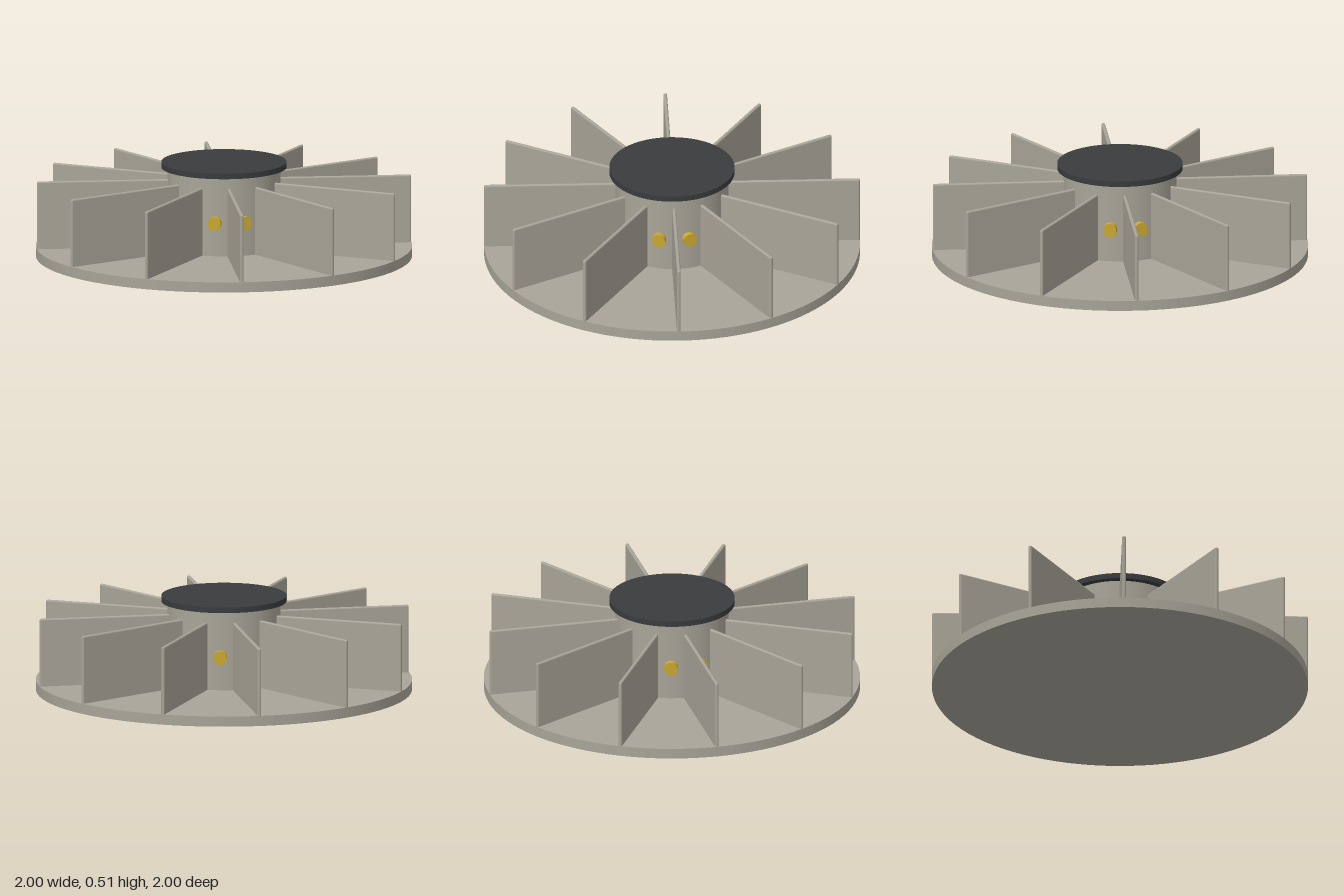
import * as THREE from 'three';
import { RoundedBoxGeometry } from 'three/addons/geometries/RoundedBoxGeometry.js';

const FINS = 12;
const paint = (color) => new THREE.MeshStandardMaterial({ color });

export function createModel() {
  const model = new THREE.Group();
  const metal = paint(0xa8a498);
  const dark = paint(0x3a3b3e);
  const brass = paint(0xc9a832);

  const add = (name, geometry, material, parent = model) => {
    const mesh = new THREE.Mesh(geometry, material);
    mesh.name = name;
    parent.add(mesh);
    return mesh;
  };
  // Upright disc or cylinder between two heights
  const disc = (name, radius, y0, y1, material) => {
    add(name, new THREE.CylinderGeometry(radius, radius, y1 - y0, 96), material).position.y = (y0 + y1) / 2;
  };

  disc('basePlate', 1, 0, 0.055, metal);
  disc('hub', 0.3, 0.05, 0.485, metal);
  disc('cap', 0.333, 0.48, 0.51, dark);

  // Radial fins with softened edges, sunk slightly into plate and hub
  const finGeo = new RoundedBoxGeometry(0.02, 0.385, 0.72, 3, 0.009);
  finGeo.translate(0, 0.2275, 0.639);

  // Round studs on the hub wall, one between each pair of fins
  const studGeo = new THREE.CylinderGeometry(0.037, 0.037, 0.06, 32);
  studGeo.rotateX(Math.PI / 2);
  studGeo.translate(0, 0.235, 0.3);

  const fins = new THREE.Group();
  fins.name = 'fins';
  const studs = new THREE.Group();
  studs.name = 'studs';
  model.add(fins, studs);
  for (let i = 0; i < FINS; i++) {
    const angle = (i / FINS) * Math.PI * 2;
    add('fin', finGeo, metal, fins).rotation.y = angle;
    add('stud', studGeo, brass, studs).rotation.y = angle + Math.PI / FINS;
  }
  return model;
}
